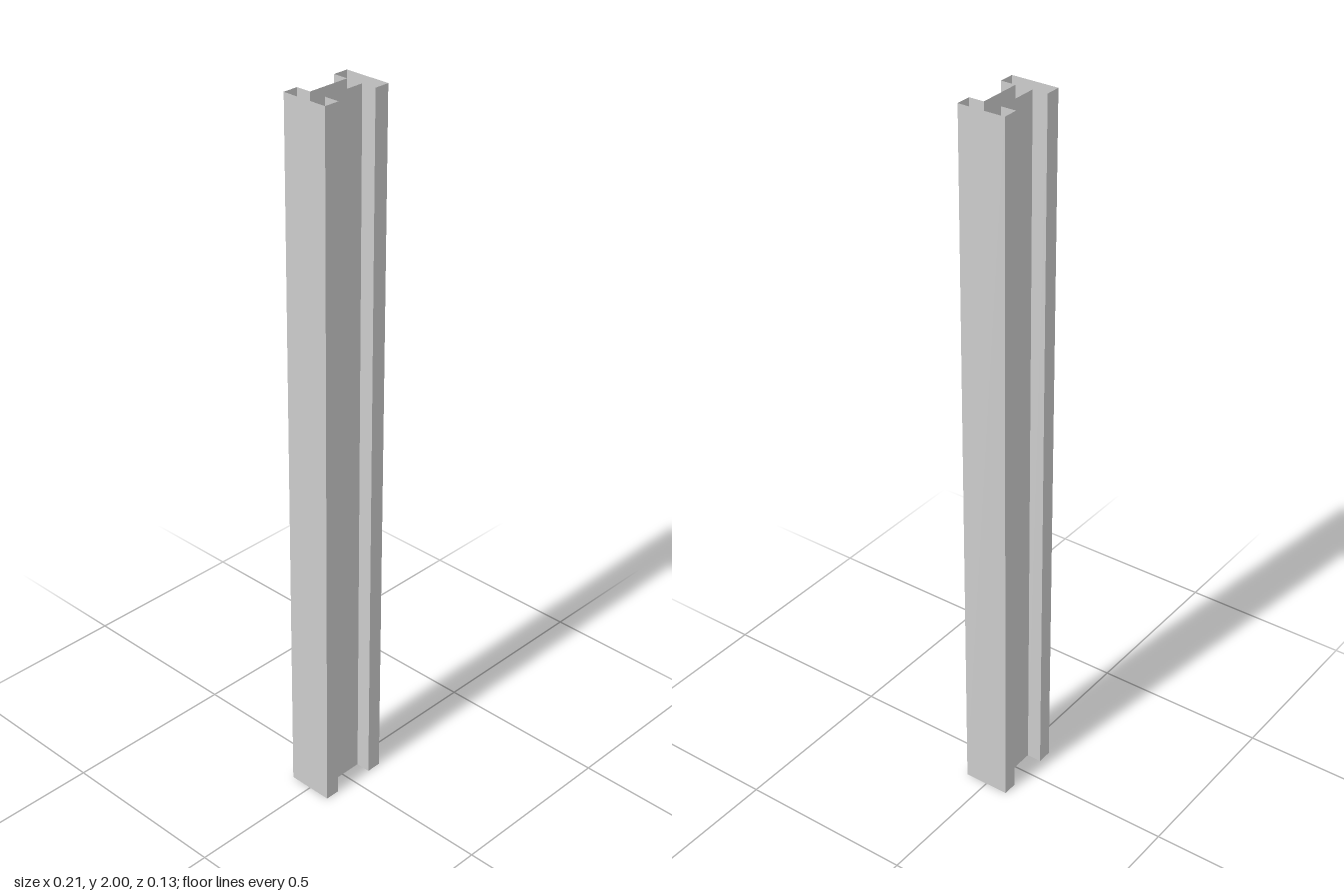
import * as THREE from 'three';

const HEIGHT = 2;
const HALF_WIDTH = 0.104;  // outer flange faces
const WEB_HALF = 0.061;    // where flanges step in to the web
const HALF_DEPTH = 0.066;  // flange depth
const WEB_DEPTH = 0.024;   // half thickness of the web

export function createModel() {
  const group = new THREE.Group();
  group.name = 'column';
  const material = new THREE.MeshStandardMaterial({
    color: 0xcccccc, side: THREE.DoubleSide, flatShading: true,
  });

  // One thin wall standing between two plan points, facing outward
  function wall(name, [x0, z0], [x1, z1]) {
    const geometry = new THREE.PlaneGeometry(Math.hypot(x1 - x0, z1 - z0), HEIGHT);
    geometry.rotateY(Math.atan2(z0 - z1, x1 - x0));
    geometry.translate((x0 + x1) / 2, HEIGHT / 2, (z0 + z1) / 2);
    const mesh = new THREE.Mesh(geometry, material);
    mesh.name = name;
    group.add(mesh);
  }

  // Half of the open-ended I-shaped outline, repeated by a half turn
  const half = [
    [-HALF_WIDTH, HALF_DEPTH], [-WEB_HALF, HALF_DEPTH],
    [-WEB_HALF, WEB_DEPTH], [WEB_HALF, WEB_DEPTH],
    [WEB_HALF, HALF_DEPTH], [HALF_WIDTH, HALF_DEPTH],
  ];
  const outline = [...half, ...half.map(([x, z]) => [-x, -z])];
  const names = ['flangeFace', 'flangeReturn', 'web', 'flangeReturn', 'flangeFace', 'flangeSide'];
  outline.forEach((p, i) => {
    const side = i < half.length ? 'front' : 'back';
    wall(`${side} ${names[i % names.length]}`, p, outline[(i + 1) % outline.length]);
  });

  return group;
}
